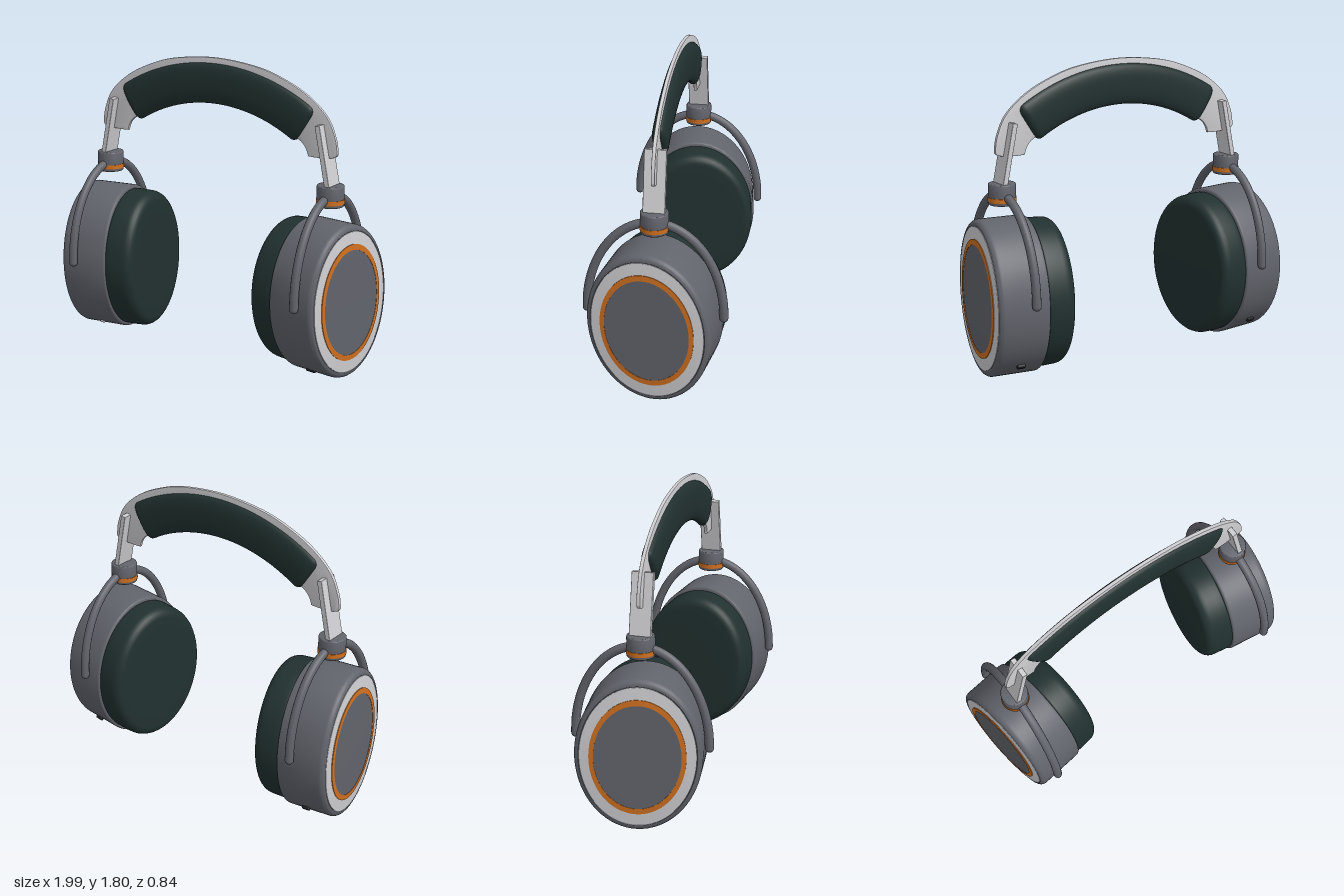
import * as THREE from 'three';
import { toCreasedNormals } from 'three/addons/utils/BufferGeometryUtils.js';
import { RoundedBoxGeometry } from 'three/addons/geometries/RoundedBoxGeometry.js';

const mat = (name, color) => {
  const m = new THREE.MeshStandardMaterial({ color });
  m.name = name;
  return m;
};

export function createModel() {
  const grey = mat('graphite grey', 0x62646c);
  const silver = mat('silver', 0xd0d0d4);
  const orange = mat('orange', 0xd07020);
  const green = mat('dark green leather', 0x213130);
  const black = mat('port black', 0x1c1d20);

  const model = new THREE.Group();
  model.name = 'headphones';
  const add = (parent, name, geometry, material) => {
    const mesh = new THREE.Mesh(geometry, material);
    mesh.name = name;
    parent.add(mesh);
    return mesh;
  };

  // Quarter-round corner for a profile: centre (r, u), radii, angle range
  const corner = (r, u, rad, a0, a1, n = 6) =>
    Array.from({ length: n + 1 }, (_, i) => {
      const a = a0 + (a1 - a0) * i / n;
      return [r + rad * Math.cos(a), u + rad * Math.sin(a)];
    });
  // Elliptical turned part whose axis points outward along +x
  const oval = (profile, squash = 0.785) => {
    const g = new THREE.LatheGeometry(profile.map(p => new THREE.Vector2(p[0], p[1])), 72);
    g.scale(1, 1, squash).rotateZ(-Math.PI / 2);
    return toCreasedNormals(g, 0.5);
  };
  const Q = Math.PI / 2;

  // ---- Ear cups: yawed toward the front and rolled slightly ----
  const housingShape = oval([[0, -0.155], ...corner(0.45, -0.14, 0.015, -Q, 0, 4),
    ...corner(0.43, 0.115, 0.035, 0, Q), [0.42, 0.145], [0, 0.145]]);
  const padShape = oval([[0, -0.326], [0.3, -0.326], ...corner(0.38, -0.265, 0.06, -Q, 0),
    [0.443, -0.2], ...corner(0.428, -0.165, 0.015, 0, Q, 4), [0, -0.15]], 0.795);
  const ringShape = oval([[0.35, 0.13], [0.424, 0.13], [0.424, 0.15], [0.35, 0.156], [0.35, 0.13]]);
  const trimShape = oval([[0.318, 0.13], [0.352, 0.13], [0.352, 0.16], [0.318, 0.162], [0.318, 0.13]]);
  const discShape = oval([[0, 0.14], [0.319, 0.14], [0.319, 0.16], [0, 0.163]]);

  const addPort = (cup, name, z, u, size, material) => {
    const y = -0.462 * Math.sqrt(1 - (z / 0.363) ** 2);
    const port = add(cup, name, new RoundedBoxGeometry(...size, 3, 0.008), material);
    port.position.set(u, y, z);
    port.rotation.x = Math.atan2(-z / 0.133, -y / 0.216);
  };

  for (const s of [1, -1]) {
    const side = s > 0 ? 'left' : 'right';
    const cup = new THREE.Group();
    cup.name = side + 'EarCup';
    cup.position.set(s * 0.8, 0.465, 0);
    cup.rotation.set(s * 0.085, s > 0 ? -0.135 : Math.PI + 0.135, 0, 'YXZ');
    model.add(cup);
    add(cup, 'housing', housingShape, grey);
    add(cup, 'earPad', padShape, green);
    add(cup, 'silverRing', ringShape, silver);
    add(cup, 'orangeTrim', trimShape, orange);
    add(cup, 'outerDisc', discShape, grey);
    if (s > 0) addPort(cup, 'frontPort', 0.18, -0.01, [0.065, 0.024, 0.026], black);
    else addPort(cup, 'frontButton', -0.18, -0.01, [0.03, 0.024, 0.026], silver);
    addPort(cup, 'rearPort', s * -0.215, -0.01, [0.05, 0.036, 0.03], black);

    // Yoke arch with rounded tips
    const arm = new THREE.Group();
    arm.name = side + 'Yoke';
    arm.position.x = s * 0.795;
    model.add(arm);
    const path = [];
    for (let i = 0; i <= 24; i++) {
      const a = Math.PI * i / 24;
      path.push(new THREE.Vector3(0, 0.5 + 0.57 * Math.sin(a), 0.395 * Math.cos(a)));
    }
    add(arm, 'yokeArch', new THREE.TubeGeometry(new THREE.CatmullRomCurve3(path), 64, 0.026, 14), grey);
    for (const z of [0.395, -0.395])
      add(arm, 'yokeTip', new THREE.SphereGeometry(0.026, 14, 10), grey).position.set(0, 0.5, z);

    // Swivel hub with orange band
    const hub = [[0, 1.015], ...corner(0.073, 1.022, 0.007, -Q, 0, 3),
      ...corner(0.073, 1.132, 0.007, 0, Q, 3), [0, 1.139]];
    add(arm, 'swivelHub', toCreasedNormals(new THREE.LatheGeometry(
      hub.map(p => new THREE.Vector2(...p)), 40), 0.6), grey);
    add(arm, 'hubBand', new THREE.CylinderGeometry(0.083, 0.083, 0.026, 40), orange).position.y = 1.046;

    // Height slider leaning inward
    const slider = add(model, side + 'Slider', new RoundedBoxGeometry(0.032, 0.38, 0.126, 2, 0.004), silver);
    slider.position.set(s * 0.77, 1.3, 0);
    slider.rotation.z = s * 0.2;
  }

  // ---- Headband plate: half outline mirrored ----
  const outer = [[0.834, 1.33], [0.82, 1.41], [0.765, 1.525], [0.65, 1.627],
    [0.5, 1.705], [0.3, 1.768], [0, 1.797]];
  const vec = ([x, y]) => new THREE.Vector2(x, y);
  const mirror = ([x, y]) => [-x, y];
  const plate = new THREE.Shape();
  plate.moveTo(0.834, 1.33);
  plate.splineThru([...outer.slice(1), ...outer.slice(0, -1).reverse().map(mirror)].map(vec));
  plate.quadraticCurveTo(-0.838, 1.305, -0.8, 1.3);
  plate.quadraticCurveTo(-0.74, 1.288, -0.65, 1.293);
  plate.quadraticCurveTo(-0.635, 1.36, -0.58, 1.385);
  plate.lineTo(-0.55, 1.47);
  plate.quadraticCurveTo(0, 1.82, 0.55, 1.47);
  plate.lineTo(0.58, 1.385);
  plate.quadraticCurveTo(0.635, 1.36, 0.65, 1.293);
  plate.quadraticCurveTo(0.74, 1.288, 0.8, 1.3);
  plate.quadraticCurveTo(0.838, 1.305, 0.834, 1.33);
  const plateGeo = new THREE.ExtrudeGeometry(plate, { depth: 0.012, curveSegments: 10,
    bevelEnabled: true, bevelThickness: 0.005, bevelSize: 0.004, bevelSegments: 2 });
  plateGeo.translate(0, 0, -0.006);
  add(model, 'headbandPlate', toCreasedNormals(plateGeo, 0.5), silver);

  // ---- Headband cushion: rounded section swept along an arc, ends rounded off ----
  const half = 0.578, R = 1.147, round = 0.04, N = 32, stations = [];
  for (let i = 0; i <= 6; i++) stations.push(-half + round / R * (1 - Math.cos(Q * i / 6)));
  for (let i = 1; i < 32; i++) stations.push((half - round / R) * (i / 16 - 1));
  for (let i = 6; i >= 0; i--) stations.push(half - round / R * (1 - Math.cos(Q * i / 6)));
  const pos = [], idx = [];
  const pow = (v, e) => Math.sign(v) * Math.abs(v) ** e;
  for (const t of stations) {
    const d = Math.min(1, (half - Math.abs(t)) * R / round);
    const inset = round * (1 - Math.sqrt(Math.max(0, 1 - (1 - d) ** 2)));
    for (let j = 0; j < N; j++) {
      const a = 2 * Math.PI * j / N;
      const r = R + (0.122 - inset) * pow(Math.sin(a), 0.8);
      pos.push(r * Math.sin(t), 0.5 + r * Math.cos(t), (0.045 - inset * 0.9) * pow(Math.cos(a), 0.8));
    }
  }
  const last = stations.length - 1;
  for (let i = 0; i < last; i++)
    for (let j = 0; j < N; j++) {
      const a = i * N + j, b = i * N + (j + 1) % N;
      idx.push(a, a + N, b, b, a + N, b + N);
    }
  for (let j = 1; j < N - 1; j++) {
    idx.push(0, j, j + 1);
    idx.push(last * N, last * N + j + 1, last * N + j);
  }
  const cushion = new THREE.BufferGeometry();
  cushion.setAttribute('position', new THREE.Float32BufferAttribute(pos, 3));
  cushion.setIndex(idx);
  cushion.computeVertexNormals();
  add(model, 'headbandCushion', cushion, green);

  return model;
}
